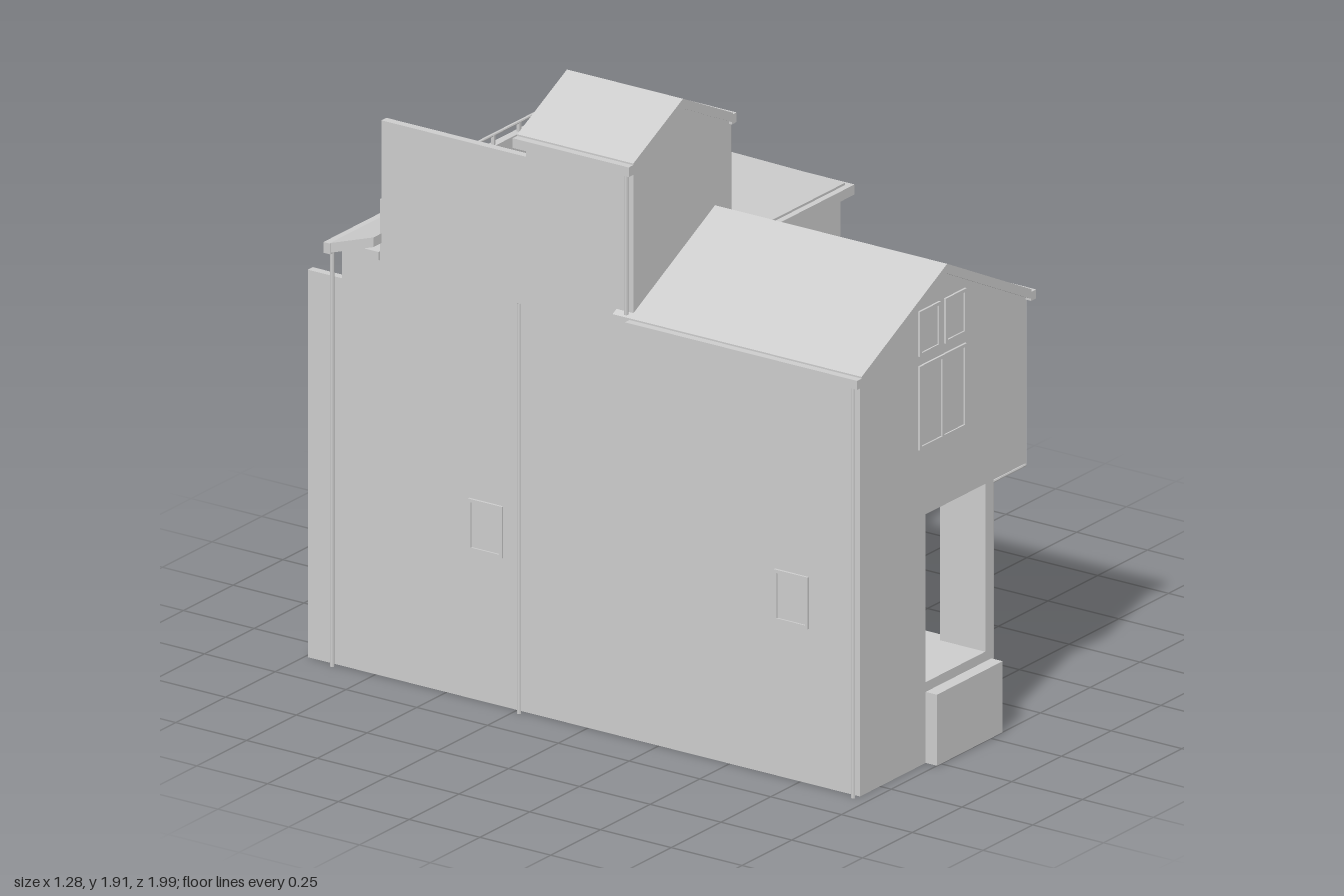
import * as THREE from 'three';

export function createModel() {
  const house = new THREE.Group();
  house.name = 'house';
  const mat = new THREE.MeshStandardMaterial({ color: 0xcccccc, flatShading: true, side: THREE.DoubleSide });

  const add = (name, geo, parent = house) => {
    const m = new THREE.Mesh(geo, mat);
    m.name = name;
    parent.add(m);
  };
  // box given by its limits
  const box = (name, x0, x1, y0, y1, z0, z1, parent) => {
    const g = new THREE.BoxGeometry(x1 - x0, y1 - y0, z1 - z0);
    g.translate((x0 + x1) / 2, (y0 + y1) / 2, (z0 + z1) / 2);
    add(name, g, parent);
  };
  const triangles = (name, out) => {
    const g = new THREE.BufferGeometry();
    g.setAttribute('position', new THREE.Float32BufferAttribute(out, 3));
    g.computeVertexNormals();
    add(name, g);
  };
  // thin upright walls along a line of [x, z] points, outside on the right-hand side
  const walls = (name, y0, y1, ...pts) => {
    const out = [];
    for (let i = 0; i < pts.length - 1; i++) {
      const [ax, az] = pts[i], [bx, bz] = pts[i + 1];
      out.push(ax, y0, az, ax, y1, az, bx, y1, bz, ax, y0, az, bx, y1, bz, bx, y0, bz);
    }
    triangles(name, out);
  };
  // flat gable end
  const gable = (name, x0, x1, y0, yEave, xPeak, yPeak, z) => {
    const s = new THREE.Shape();
    s.moveTo(x0, y0); s.lineTo(x1, y0); s.lineTo(x1, yEave);
    s.lineTo(xPeak, yPeak); s.lineTo(x0, yEave); s.closePath();
    add(name, new THREE.ShapeGeometry(s).translate(0, 0, z));
  };
  // convex sloping slab: top corners, thickness downwards
  const slab = (name, pts, t = 0.03) => {
    const v = pts.map(p => new THREE.Vector3(...p));
    const n = new THREE.Vector3().subVectors(v[1], v[0]).cross(new THREE.Vector3().subVectors(v[2], v[0]));
    if (n.y < 0) v.reverse();
    const low = v.map(p => new THREE.Vector3(p.x, p.y - t, p.z));
    const out = [];
    const tri = (...c) => c.forEach(p => out.push(p.x, p.y, p.z));
    for (let i = 1; i < v.length - 1; i++) {
      tri(v[0], v[i], v[i + 1]);
      tri(low[0], low[i + 1], low[i]);
    }
    v.forEach((p, i) => {
      const j = (i + 1) % v.length;
      tri(p, low[i], low[j]);
      tri(p, low[j], v[j]);
    });
    triangles(name, out);
  };
  // straight round bars through a list of points
  const pipe = (name, r, ...pts) => {
    for (let i = 0; i < pts.length - 1; i++) {
      const line = new THREE.LineCurve3(new THREE.Vector3(...pts[i]), new THREE.Vector3(...pts[i + 1]));
      add(name, new THREE.TubeGeometry(line, 1, r, 8));
    }
  };
  // framed window centred at x, y, z, turned to face outward
  const windowUnit = (name, x, y, z, turn, w, h, cols = 2, hood = false) => {
    const g = new THREE.Group();
    g.name = name;
    g.position.set(x, y, z);
    g.rotation.y = turn;
    house.add(g);
    const b = 0.005, d = 0.007;
    box('pane', -w / 2, w / 2, -h / 2, h / 2, -0.005, 0.002, g);
    for (let i = 0; i <= cols; i++) {
      const c = -w / 2 + b + (w - 2 * b) * i / cols;
      box('upright', c - b, c + b, -h / 2, h / 2, -0.005, d, g);
    }
    for (const s of [-1, 1]) {
      const c = s * (h / 2 - b);
      box('crossbar', -w / 2, w / 2, c - b, c + b, -0.005, d, g);
    }
    if (hood) box('hood', -w / 2, w / 2, h / 2, h / 2 + 0.025, -0.005, 0.02, g);
  };
  // handrail with posts between two points
  const railing = (name, a, b, h = 0.045) => {
    const A = new THREE.Vector3(...a), B = new THREE.Vector3(...b);
    pipe(name, 0.005, [a[0], a[1] + h, a[2]], [b[0], b[1] + h, b[2]]);
    const n = Math.max(1, Math.round(A.distanceTo(B) / 0.12));
    for (let i = 0; i <= n; i++) {
      const p = A.clone().lerp(B, i / n);
      box('railPost', p.x - 0.005, p.x + 0.005, p.y - 0.01, p.y + h, p.z - 0.005, p.z + 0.005);
    }
  };
  const EAST = Math.PI / 2, WEST = -Math.PI / 2, BACK = Math.PI;

  // main walls, hollow and open underneath
  walls('baseWalls', 0, 0.27, [-0.6, 0.045], [-0.6, -0.99], [0.605, -0.99], [0.605, 0.045], [0.07, 0.045]);
  walls('lowerWalls', 0.27, 0.83, [-0.6, 0.045], [-0.6, -0.99], [0.06, -0.99], [0.06, -0.79],
    [0.605, -0.79], [0.605, 0.045], [0.07, 0.045]);
  walls('upperWalls', 0.83, 1.285, [-0.6, 0.045], [-0.6, -0.745], [0.605, -0.745], [0.605, 0.045], [0.07, 0.045]);
  walls('wingWestWall', 0, 1.285, [-0.6, 0.96], [-0.6, 0.045]);
  walls('wingEastUpperWall', 0.77, 1.285, [0.235, 0.045], [0.235, 0.96]);
  gable('wingGable', -0.6, 0.235, 0.77, 1.285, -0.19, 1.495, 0.96);
  box('wingOverhang', 0.07, 0.235, 0.77, 0.78, 0.045, 0.96);
  walls('towerWalls', 1.27, 1.77, [-0.11, 0.16], [-0.6, 0.16], [-0.6, -0.22], [-0.11, -0.22], [-0.11, 0.16]);
  for (const z of [0.16, -0.22]) gable('towerGable', -0.6, -0.11, 1.27, 1.77, -0.365, 1.89, z);

  // open front porch
  walls('porchFrontWall', 0, 0.77, [-0.27, 0.96], [-0.6, 0.96]);
  walls('porchSill', 0, 0.25, [0.07, 0.65], [0.07, 0.96], [-0.27, 0.96]);
  walls('wingEastLowerWall', 0, 0.77, [0.07, 0.045], [0.07, 0.65]);
  walls('porchInnerWalls', 0.25, 0.77, [0.07, 0.65], [-0.27, 0.65], [-0.27, 0.96]);
  box('porchFloor', -0.27, 0.07, 0.24, 0.25, 0.65, 0.96);
  box('porchCeiling', -0.27, 0.07, 0.77, 0.78, 0.65, 0.96);
  box('porchPillar', 0.03, 0.07, 0.25, 0.77, 0.8, 0.96);
  box('porchRearPillar', 0.03, 0.07, 0.25, 0.77, 0.65, 0.68);
  box('planter', -0.27, 0.06, 0, 0.22, 0.96, 1);

  // wing roof
  slab('wingRoofWest', [[-0.62, 1.31, 0.98], [-0.19, 1.525, 0.98], [-0.19, 1.525, 0.1], [-0.62, 1.31, 0.1]]);
  slab('wingRoofEast', [[0.235, 1.312, 0.98], [0.235, 1.312, 0.065], [-0.02, 1.44, -0.2], [-0.19, 1.525, -0.2], [-0.19, 1.525, 0.98]]);
  // hipped roof
  const apex = [0.22, 1.515, -0.35];
  slab('hipRoofEast', [[0.62, 1.315, 0.05], [0.62, 1.315, -0.75], apex]);
  slab('hipRoofFront', [[0.62, 1.315, 0.05], apex, [0.22, 1.44, -0.2], [-0.02, 1.44, -0.2], [0.235, 1.315, 0.05]]);
  slab('hipRoofBack', [[0.62, 1.315, -0.75], apex, [0.22, 1.315, -0.75]]);
  // tower roof
  for (const x of [-0.615, -0.115])
    slab('towerRoof', [[x, 1.79, 0.17], [-0.365, 1.912, 0.17], [-0.365, 1.912, -0.24], [x, 1.79, -0.24]]);
  // lean-to roof behind
  box('leanToBody', -0.6, -0.08, 0.9, 1.31, -0.87, -0.74);
  slab('leanToRoof', [[-0.64, 1.37, -0.73], [-0.06, 1.37, -0.73], [-0.06, 1.318, -0.885], [-0.64, 1.318, -0.885]]);

  // gutters along the eaves
  box('wingGutterWest', -0.643, -0.618, 1.277, 1.305, 0.16, 0.98);
  box('wingGutterEast', 0.232, 0.257, 1.277, 1.305, 0.05, 0.98);
  box('hipGutterFront', 0.235, 0.64, 1.277, 1.308, 0.045, 0.07);
  box('hipGutterEast', 0.615, 0.64, 1.277, 1.308, -0.77, 0.07);
  box('hipGutterBack', -0.035, 0.64, 1.277, 1.308, -0.77, -0.745);
  box('leanToGutterSide', -0.06, -0.035, 1.277, 1.305, -0.905, -0.745);
  box('leanToGutter', -0.643, -0.035, 1.285, 1.318, -0.905, -0.88);
  for (const x of [-0.638, -0.12]) box('towerGutter', x, x + 0.024, 1.755, 1.785, -0.24, 0.17);

  // roof terrace
  box('terraceFloor', -0.6, 0.2, 1.28, 1.3, -0.73, -0.2);
  box('terraceFrontWall', -0.12, 0.22, 1.28, 1.54, -0.22, -0.195);
  box('terraceEastWallHigh', 0.195, 0.22, 1.28, 1.54, -0.52, -0.2);
  box('terraceEastWallLow', 0.195, 0.22, 1.28, 1.475, -0.735, -0.52);
  box('terraceBackWall', -0.6, 0.22, 1.28, 1.475, -0.735, -0.71);
  box('terraceWestWall', -0.6, -0.575, 1.28, 1.72, -0.73, -0.2);
  railing('terraceBackRail', [-0.57, 1.475, -0.72], [0.207, 1.475, -0.72], 0.03);
  railing('terraceEastRail', [0.207, 1.475, -0.72], [0.207, 1.475, -0.52], 0.03);

  // rear projection with its balcony
  walls('rearUpperWalls', 0.83, 0.92, [-0.6, -0.745], [-0.6, -0.99], [0.06, -0.99], [0.06, -0.745]);
  box('rearBalconyFloor', -0.6, 0.06, 0.9, 0.92, -0.99, -0.745);
  box('rearParapet', -0.6, 0.06, 0.92, 0.99, -0.99, -0.97);
  box('rearParapetSide', 0.035, 0.06, 0.92, 0.99, -0.97, -0.88);
  box('rearWestFin', -0.6, -0.575, 0.92, 1.2, -0.99, -0.86);
  railing('rearRail', [-0.57, 0.99, -0.98], [0.048, 0.99, -0.98]);
  railing('rearSideRail', [0.048, 0.99, -0.98], [0.048, 0.99, -0.88]);
  box('rearLowTop', 0.06, 0.605, 0.255, 0.27, -0.99, -0.79);

  // side balcony
  box('balconyFloor', 0.05, 0.605, 0.82, 0.86, -0.885, -0.74);
  box('balconyParapet', 0.05, 0.605, 0.86, 0.99, -0.885, -0.865);
  box('balconyParapetEnd', 0.585, 0.605, 0.86, 0.99, -0.87, -0.74);
  railing('balconyRail', [0.06, 0.99, -0.875], [0.595, 0.99, -0.875]);
  railing('balconyEndRail', [0.595, 0.99, -0.875], [0.595, 0.99, -0.745]);

  // front windows
  windowUnit('gableWindow', -0.19, 1.11, 0.96, 0, 0.235, 0.26);
  for (const x of [-0.255, -0.125]) windowUnit('gableTopWindow', x, 1.34, 0.96, 0, 0.105, 0.14, 1);
  windowUnit('frontBayWindow', 0.25, 0.49, 0.045, 0, 0.32, 0.42, 2, true);
  // east windows
  for (const z of [-0.26, -0.42]) windowUnit('tallWindow', 0.605, 0.855, z, EAST, 0.12, 0.75, 1);
  for (const z of [0.56, 0.66, 0.76]) windowUnit('wingSideWindow', 0.235, 1.05, z, EAST, 0.08, 0.28, 1);
  // west windows
  windowUnit('westRearWindow', -0.6, 0.54, -0.36, WEST, 0.12, 0.16, 1);
  windowUnit('westFrontWindow', -0.6, 0.56, 0.72, WEST, 0.12, 0.16, 1);
  // back doors and windows
  windowUnit('towerDoor', -0.34, 1.47, -0.22, BACK, 0.28, 0.33, 2, true);
  windowUnit('balconyDoor', 0.24, 1.03, -0.745, BACK, 0.32, 0.34, 2, true);
  windowUnit('leanToDoor', -0.27, 1.06, -0.87, BACK, 0.34, 0.27, 2, true);
  windowUnit('rearWindow', 0.29, 0.52, -0.79, BACK, 0.34, 0.46, 3, true);

  // drainpipes
  const r = 0.006;
  pipe('wingDrainpipeWest', r, [-0.62, 1.29, 0.95], [-0.62, 0, 0.95]);
  pipe('towerDrainpipeWest', r, [-0.622, 1.76, 0.15], [-0.622, 1.32, 0.15]);
  pipe('middleDrainpipeWest', r, [-0.62, 1.27, -0.23], [-0.62, 0, -0.23]);
  pipe('towerDrainpipeEast', r, [-0.104, 1.76, 0.15], [-0.104, 1.48, 0.15]);
  pipe('rearDrainpipeWest', r, [-0.62, 1.3, -0.89], [-0.62, 0, -0.89]);
  pipe('wingDrainpipeEast', r, [0.242, 1.28, 0.95], [0.242, 0.76, 0.95], [0.078, 0.76, 0.95], [0.078, 0, 0.95]);
  pipe('innerDrainpipe', r, [0.242, 1.28, 0.052], [0.242, 0.76, 0.052], [0.078, 0.76, 0.052], [0.078, 0, 0.052]);
  pipe('rearDrainpipeEast', r, [0.613, 0.83, -0.86], [0.613, 0.83, -0.805], [0.613, 0, -0.805]);
  return house;
}
